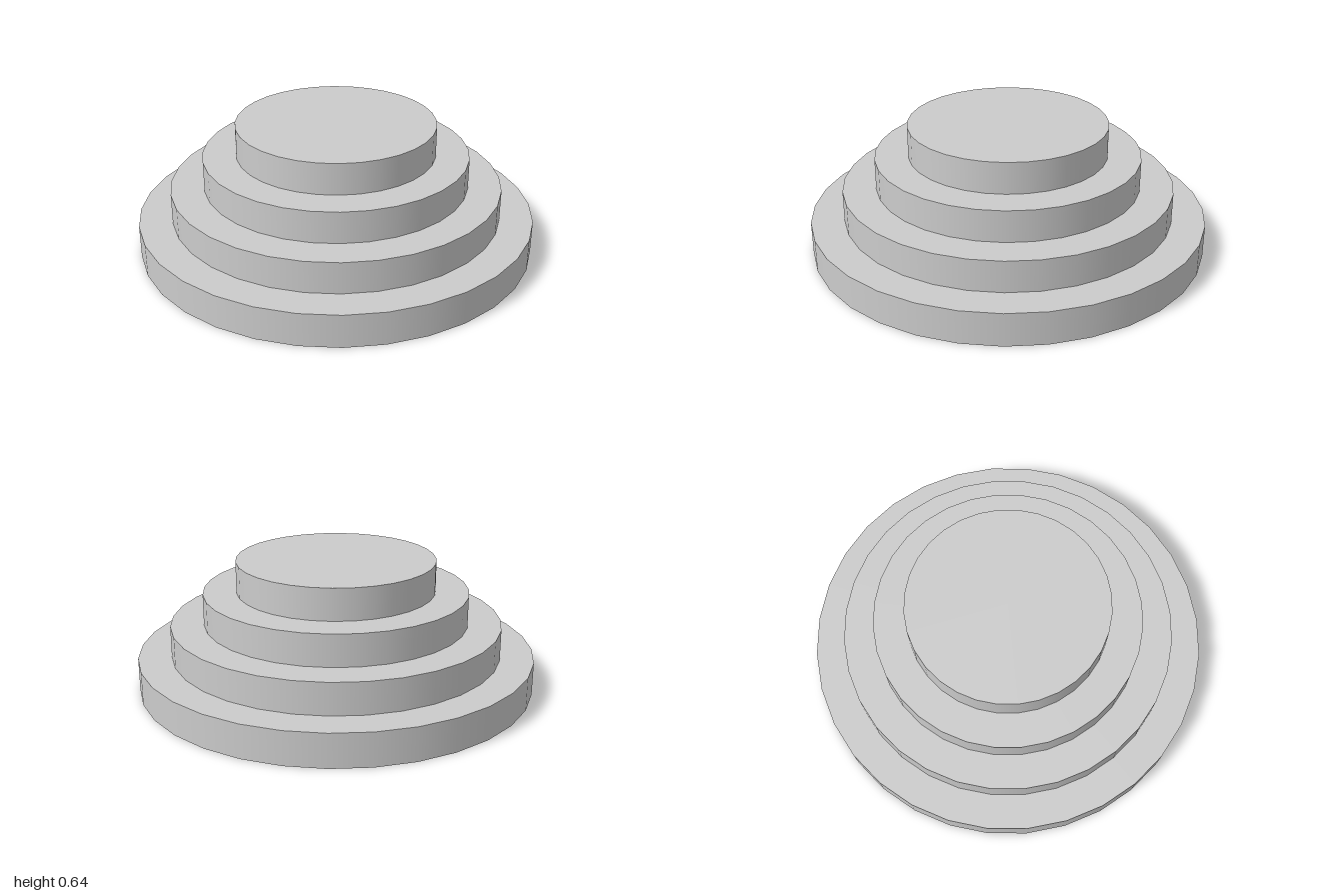
import * as THREE from 'three';

const TIERS = 4;
const SIDES = 32;
const HEIGHT = 1 / 6; // height of each disc
const RISE = HEIGHT * 0.95; // discs sink slightly into the one below

export function createModel() {
  const model = new THREE.Group();
  model.name = 'steppedRoundPlatform';
  const material = new THREE.MeshStandardMaterial({ color: 0xcccccc });

  // Stacked discs, each one sixth narrower than the one below
  for (let i = 0; i < TIERS; i++) {
    const radius = 1 - i / 6;
    const tier = new THREE.Mesh(
      new THREE.CylinderGeometry(radius, radius, HEIGHT, SIDES),
      material
    );
    tier.name = i === 0 ? 'baseTier' : i === TIERS - 1 ? 'topTier' : `middleTier${i}`;
    tier.position.y = HEIGHT / 2 + i * RISE;
    model.add(tier);
  }
  return model;
}
